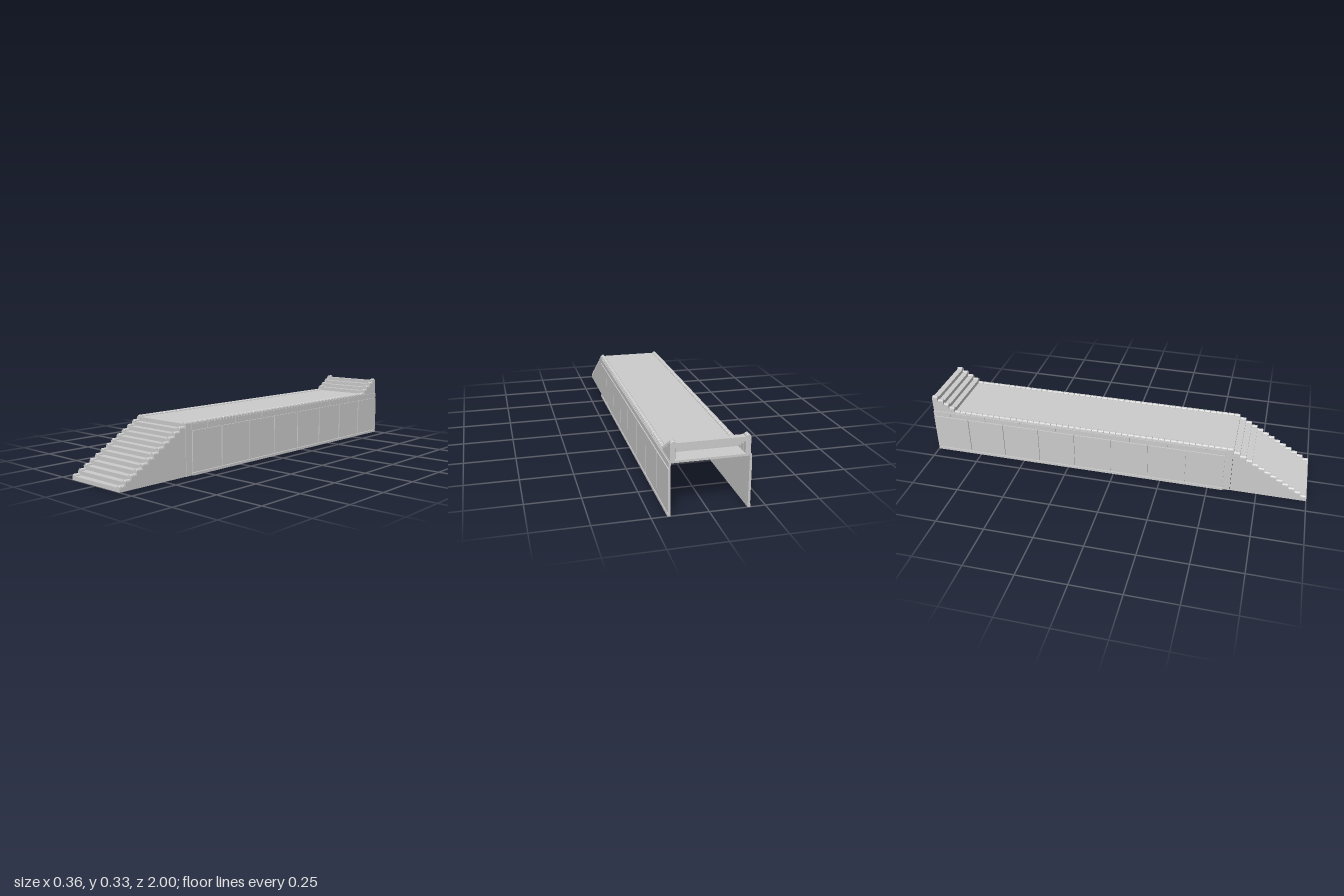
import * as THREE from 'three';

const RISE = 0.019, RUN = 0.032, DECK = 0.247;
const FRONT = 0.615, SIDE_START = 0.58, BACK = -1;
const material = new THREE.MeshStandardMaterial({ color: 0xcccccc, flatShading: true });

function add(parent, name, geometry) {
  const mesh = new THREE.Mesh(geometry, material);
  mesh.name = name;
  parent.add(mesh);
  return mesh;
}

// Box given by its min and max corners
function block(parent, name, x0, x1, y0, y1, z0, z1) {
  const mesh = add(parent, name, new THREE.BoxGeometry(x1 - x0, y1 - y0, z1 - z0));
  mesh.position.set((x0 + x1) / 2, (y0 + y1) / 2, (z0 + z1) / 2);
  return mesh;
}

// Upright block with a domed, softly bevelled top
function copingBlock(parent, name, side, bottom, top, zCentre, depth) {
  const bevel = 0.002, half = 0.01 - bevel, shoulder = top - 0.009, crown = top - bevel;
  const shape = new THREE.Shape();
  shape.moveTo(-half, bottom + bevel);
  shape.lineTo(half, bottom + bevel);
  shape.lineTo(half, shoulder);
  shape.absellipse(0, shoulder, half, crown - shoulder, 0, Math.PI, false);
  const geometry = new THREE.ExtrudeGeometry(shape, {
    depth: depth - 2 * bevel, curveSegments: 8,
    bevelEnabled: true, bevelSize: bevel, bevelThickness: bevel, bevelSegments: 1,
  });
  geometry.translate(0, 0, -depth / 2 + bevel);
  add(parent, name, geometry).position.set(side * 0.16, 0, zCentre);
}

export function createModel() {
  const model = new THREE.Group();
  model.name = 'raisedWalkway';

  block(model, 'deck', -0.172, 0.172, DECK - 0.01, DECK, BACK, FRONT);

  // Front stairs, with side columns reaching the ground
  const frontStairs = new THREE.Group();
  frontStairs.name = 'frontStairs';
  model.add(frontStairs);
  for (let i = 0; i < 12; i++) {
    const top = (i + 1) * RISE, z = 1 - i * RUN;
    block(frontStairs, 'step', -0.17, 0.17, Math.max(0, top - RISE - 0.004), top, z - RUN - 0.004, z);
    for (const side of [-1, 1]) {
      copingBlock(frontStairs, 'stairColumn', side, 0, top + 0.01, z - RUN / 2, RUN);
      const wall = side * 0.169;
      block(frontStairs, 'stairWall', wall - 0.003, wall + 0.003, 0, top, z - RUN, z);
    }
  }
  block(frontStairs, 'topRiser', -0.17, 0.17, DECK - RISE - 0.004, DECK, FRONT - 0.006, FRONT + 0.001);

  // Back stairs rising from the deck
  const backStairs = new THREE.Group();
  backStairs.name = 'backStairs';
  model.add(backStairs);
  const backStart = -0.88, backRun = (backStart - BACK) / 4;
  for (let i = 0; i < 4; i++) {
    const top = DECK + (i + 1) * RISE, z = backStart - i * backRun;
    block(backStairs, 'step', -0.17, 0.17, top - RISE - 0.002, top,
      Math.max(BACK, z - backRun - 0.004), z);
    for (const side of [-1, 1]) {
      copingBlock(backStairs, 'stairColumn', side, DECK - 0.01, top + 0.01, z - backRun / 2, backRun);
      const wall = side * 0.17;
      block(backStairs, 'stairWall', wall - 0.002, wall + 0.002, DECK - 0.01, top, z - backRun, z);
    }
  }

  // Long sides: thin wall, panels, band, curb and coping
  const panelLength = (SIDE_START - BACK) / 8, gap = 0.003;
  const deckBlocks = 47, pitch = (FRONT - backStart) / deckBlocks;
  for (const side of [-1, 1]) {
    const flank = new THREE.Group();
    flank.name = side > 0 ? 'leftSide' : 'rightSide';
    model.add(flank);
    const sideBlock = (name, inner, outer, y0, y1, z0, z1) => block(flank, name,
      Math.min(side * inner, side * outer), Math.max(side * inner, side * outer), y0, y1, z0, z1);

    sideBlock('wall', 0.169, 0.174, 0, DECK, BACK, FRONT);
    sideBlock('curb', 0.173, 0.182, 0, 0.013, BACK, SIDE_START);
    for (let i = 0; i < 8; i++) {
      const z = BACK + i * panelLength;
      sideBlock('sidePanel', 0.173, 0.18, 0.016, 0.213, z + (i ? gap : 0), z + panelLength - gap);
    }
    // Band joints fall midway between the panel joints
    for (let i = 0; i < 9; i++) {
      const z0 = Math.max(BACK, BACK + (i - 0.5) * panelLength);
      const z1 = Math.min(SIDE_START, BACK + (i + 0.5) * panelLength);
      sideBlock('upperBand', 0.173, 0.178, 0.218, 0.243, z0 + (i ? 0.0015 : 0), z1 - 0.0015);
    }
    for (let i = 0; i < deckBlocks; i++) {
      copingBlock(flank, 'deckCoping', side, DECK - 0.01, DECK + 0.009,
        FRONT - (i + 0.5) * pitch, pitch - 0.001);
    }
  }
  return model;
}
